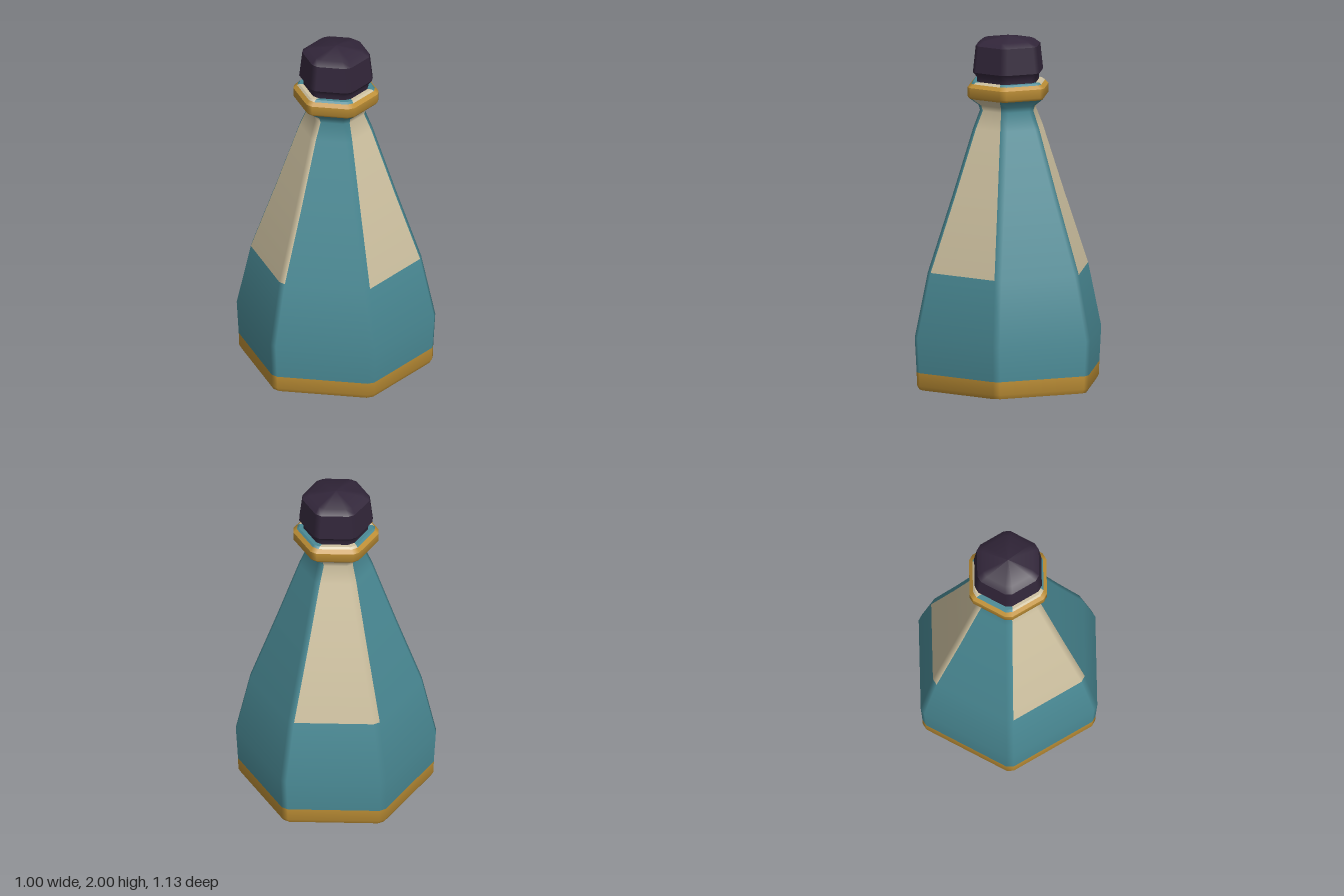
import * as THREE from 'three';

const mat = (name, color) => new THREE.MeshStandardMaterial({ name, color });

const CUT = 0.023; // length trimmed off each hexagon side for the corner bevel
const CREASE = Math.cos(THREE.MathUtils.degToRad(38));

// Profile normals [out, up] for both ends of every segment, smoothed below the crease angle
function profileNormals(p) {
  const seg = p.slice(1).map(([r, y], i) =>
    new THREE.Vector2(y - p[i][1], p[i][0] - r).normalize());
  const blend = (n, m) => (m && n.dot(m) > CREASE ? n.clone().add(m).normalize() : n);
  return seg.map((n, i) => [blend(n, seg[i - 1]), blend(n, seg[i + 1])]);
}

// Bevelled hexagonal shell from [apothem, height] points.
// Even sides are the six flat faces, odd sides the narrow bevels after them.
function hexShell(p, include = () => true) {
  const normals = profileNormals(p);
  const pos = [], nor = [], index = [];
  const corner = (side, ring, n) => {
    const j = side % 12;
    const a = Math.floor(j / 2) * Math.PI / 3;
    const [r, y] = p[ring];
    const h = Math.max(0, r / Math.sqrt(3) - CUT) * (j % 2 ? 1 : -1);
    const c = Math.cos(a), s = Math.sin(a);
    pos.push(c * r - s * h, y, s * r + c * h);
    nor.push(c * n.x, n.y, s * n.x);
  };
  for (let i = 0; i < p.length - 1; i++) {
    for (let side = 0; side < 12; side++) {
      if (!include(i, side)) continue;
      const k = pos.length / 3;
      corner(side, i, normals[i][0]);
      corner(side + 1, i, normals[i][0]);
      corner(side + 1, i + 1, normals[i][1]);
      corner(side, i + 1, normals[i][1]);
      index.push(k, k + 3, k + 2, k, k + 2, k + 1);
    }
  }
  const g = new THREE.BufferGeometry();
  g.setAttribute('position', new THREE.Float32BufferAttribute(pos, 3));
  g.setAttribute('normal', new THREE.Float32BufferAttribute(nor, 3));
  g.setIndex(index);
  return g;
}

export function createModel() {
  const teal = mat('teal glaze', 0x4a8a95);
  const cream = mat('cream panel', 0xd0c3a2);
  const gold = mat('gold trim', 0xbf9036);
  const dark = mat('dark stopper', 0x32263a);

  const model = new THREE.Group();
  model.name = 'hexagonalBottle';
  const add = (name, geometry, material) => {
    const mesh = new THREE.Mesh(geometry, material);
    mesh.name = name;
    model.add(mesh);
  };

  // Whole bottle silhouette, from the underside up to the mouth
  const bottle = [
    [0, 0], [0.475, 0], [0.488, 0.025], [0.49, 0.1],           // base band
    [0.5, 0.3], [0.43, 0.67],                                  // belly
    [0.302, 1.09], [0.188, 1.48], [0.152, 1.58], [0.16, 1.61], // shoulder and neck
    [0.208, 1.65], [0.219, 1.665], [0.219, 1.715], [0.2, 1.735], // collar ring
    [0.19, 1.745], [0.15, 1.745],                              // lip
  ];
  const isBase = i => i < 3;
  const isRing = i => i >= 10 && i < 13;
  // Alternate faces are cream above the belly, two of them with one bevel each
  const creamSides = [0, 3, 4, 7, 8];
  const isCream = (i, side) => i >= 5 && !isRing(i) && creamSides.includes(side);

  add('baseBand', hexShell(bottle, isBase), gold);
  add('collarRing', hexShell(bottle, isRing), gold);
  add('creamPanels', hexShell(bottle, isCream), cream);
  add('bottleBody', hexShell(bottle, (i, s) => !isBase(i) && !isRing(i) && !isCream(i, s)), teal);

  // Faceted stopper with a low pointed top
  add('stopper', hexShell([
    [0.168, 1.74], [0.168, 1.77], [0.19, 1.8],
    [0.175, 1.95], [0.142, 1.977], [0, 2],
  ]), dark);

  return model;
}
